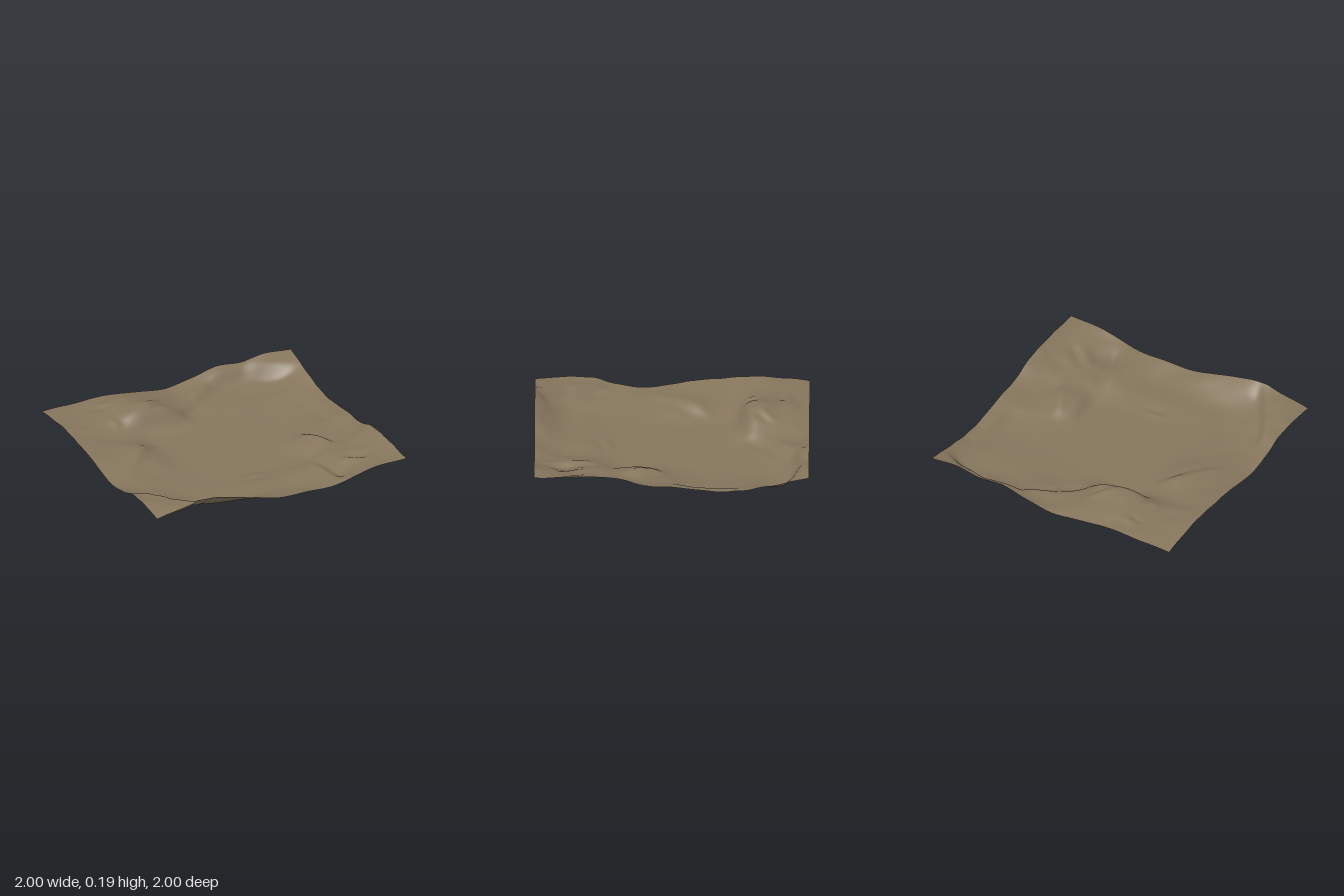
import * as THREE from 'three';

// Ground heights in thousandths: rows run back to front, columns from -x to +x
const HEIGHTS = [
  [90, 100, 110, 110, 88, 70, 113, 160, 155, 188, 185],
  [112, 108, 120, 148, 118, 70, 65, 38, 30, 52, 142],
  [125, 106, 118, 162, 122, 32, 16, 14, 16, 45, 98],
  [112, 78, 50, 10, 4, 2, 2, 3, 10, 34, 76],
  [95, 74, 72, 8, 0, 0, 0, 0, 10, 36, 86],
  [62, 64, 54, 5, 0, 0, 0, 3, 30, 66, 110],
  [34, 40, 18, 3, 0, 0, 0, 7, 84, 68, 122],
  [60, 30, 11, 3, 0, 0, 1, 12, 78, 98, 178],
  [115, 66, 13, 8, 14, 24, 24, 56, 92, 120, 190],
  [115, 125, 52, 26, 25, 27, 25, 68, 75, 138, 187],
  [100, 148, 182, 158, 110, 72, 75, 76, 130, 170, 180],
];

// Steep steps x1, z1, x2, z2, half-width, strength: the ground drops
// to the right of each line as it is walked from its first end
const SCARPS = [
  [-0.52, -0.5, -0.1, -0.55, 0.07, 0.04],
  [-0.32, -0.6, -0.16, -0.74, 0.04, 0.02],
  [-0.08, -0.59, 0.1, -0.72, 0.06, 0.03],
  [0.1, -0.74, 0.3, -0.84, 0.06, 0.035],
  [0.3, -0.89, 0.6, -0.93, 0.06, 0.045],
  [0.6, -0.93, 0.94, -0.83, 0.06, 0.045],
  [-0.76, 0.1, -0.47, -0.24, 0.06, 0.025],
  [-0.62, 0.98, -0.76, 0.76, 0.05, 0.04],
  [-0.76, 0.76, -0.88, 0.5, 0.05, 0.045],
  [0.72, 0.34, 0.6, 0.08, 0.05, 0.03],
  [0.53, 0.92, 0.46, 0.56, 0.05, 0.03],
  [0.8, 0.76, 0.66, 0.62, 0.05, 0.03],
  [-0.09, 0.5, 0.08, 0.48, 0.04, 0.014],
  [-0.66, -0.84, -0.54, -0.82, 0.04, 0.02],
  [-0.58, -0.52, -0.6, -0.62, 0.04, 0.02],
  [0.87, -0.5, 0.87, 0, 0.06, 0.018],
  [0.47, 0.12, 0.47, 0.4, 0.05, 0.02],
].map(([x1, z1, x2, z2, width, strength]) => {
  const length = Math.hypot(x2 - x1, z2 - z1);
  return {
    x: (x1 + x2) / 2, z: (z1 + z2) / 2, half: length / 2,
    dx: (x2 - x1) / length, dz: (z2 - z1) / length, width, strength,
  };
});

function spline(a, b, c, d, t) {
  return b + 0.5 * t * (c - a + t * (2 * a - 5 * b + 4 * c - d + t * (3 * (b - c) + d - a)));
}

function baseHeight(x, z) {
  const last = HEIGHTS.length - 1;
  const u = (x + 1) * 5, v = (z + 1) * 5;
  const i = Math.min(last - 1, Math.floor(u)), j = Math.min(last - 1, Math.floor(v));
  // Continue the slope one step past the border
  const at = (list, k) => k < 0 ? 2 * list[0] - list[1]
    : k > last ? 2 * list[last] - list[last - 1] : list[k];
  const across = HEIGHTS.map((row) =>
    spline(at(row, i - 1), row[i], row[i + 1], at(row, i + 2), u - i));
  return spline(at(across, j - 1), across[j], across[j + 1], at(across, j + 2), v - j) / 1000;
}

function groundHeight(x, z) {
  let y = Math.max(0, baseHeight(x, z));
  const rough = THREE.MathUtils.smoothstep(y, 0.01, 0.09);
  // Raise one side of each scarp and lower the other
  for (const s of SCARPS) {
    const along = ((x - s.x) * s.dx + (z - s.z) * s.dz) / s.half;
    const side = ((z - s.z) * s.dx - (x - s.x) * s.dz) / s.width;
    y -= s.strength * side * Math.exp(-side * side - along ** 4);
  }
  // Gentle weathering on the slopes only
  y += rough * 0.003 * (Math.sin(17 * x + 4 * Math.sin(6 * z)) * Math.cos(14 * z + 2 * x)
    + 0.5 * Math.sin(31 * z + 9 * x));
  return THREE.MathUtils.clamp(y, 0, 0.193);
}

export function createModel() {
  const model = new THREE.Group();
  model.name = 'terrain';
  const earth = new THREE.MeshStandardMaterial({ color: 0x85755c, side: THREE.DoubleSide });
  earth.name = 'brown earth';

  // One open sheet of ground: a flat basin ringed by hills
  const geometry = new THREE.PlaneGeometry(2, 2, 140, 140).rotateX(-Math.PI / 2);
  const position = geometry.attributes.position;
  for (let i = 0; i < position.count; i++) {
    position.setY(i, groundHeight(position.getX(i), position.getZ(i)));
  }
  geometry.computeVertexNormals();

  const ground = new THREE.Mesh(geometry, earth);
  ground.name = 'ground';
  model.add(ground);
  return model;
}
